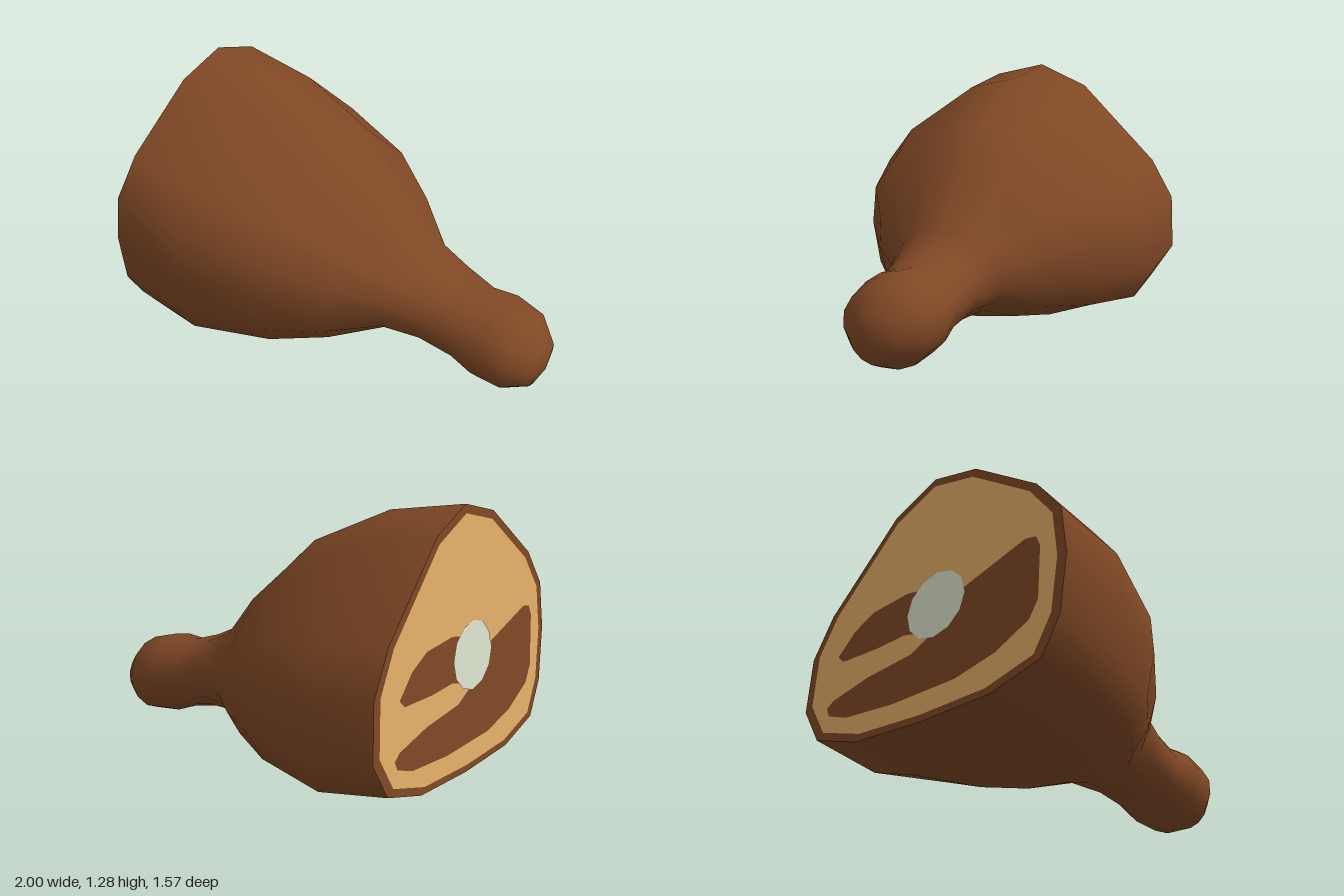
import * as THREE from 'three';

// Cross-section of the meaty end: [z, height fraction], from the top towards +z
const SECTION = [
  [-0.02, 1], [0.24, 0.953], [0.61, 0.755], [0.75, 0.615], [0.785, 0.428],
  [0.76, 0.21], [0.67, 0.074], [0.4, 0.012], [0, 0], [-0.4, 0.012],
  [-0.67, 0.074], [-0.78, 0.21], [-0.77, 0.428], [-0.66, 0.588], [-0.27, 0.91],
];
const N = SECTION.length;

// Tilted rings: [xTop, yTop, xBottom, yBottom, half width, roundness]
const RINGS = [
  [-0.96, 1.285, -0.995, 0.06, 0.78, 0],
  [-0.58, 1.228, -0.65, 0.005, 0.78, 0],
  [-0.16, 1.045, -0.27, 0.03, 0.65, 0.12],
  [0.1, 0.81, -0.03, 0.065, 0.48, 0.3],
  [0.3, 0.56, 0.19, 0.13, 0.285, 0.75],
  [0.45, 0.49, 0.39, 0.125, 0.235, 1],
  [0.61, 0.44, 0.57, 0.09, 0.214, 1],
  [0.74, 0.45, 0.69, 0.045, 0.235, 1],
  [0.89, 0.41, 0.84, 0.03, 0.218, 1],
  [0.985, 0.31, 0.955, 0.075, 0.125, 1],
];
const TIP = [1, 0.18, -0.01];

function ringPoint([xt, yt, xb, yb, half, round], i) {
  const a = (i / N) * Math.PI * 2;
  const [z, f] = SECTION[i];
  const v = THREE.MathUtils.lerp(f, 0.5 + 0.5 * Math.cos(a), round);
  const w = THREE.MathUtils.lerp(z / 0.78, Math.sin(a), round);
  return [xb + (xt - xb) * v, yb + (yt - yb) * v, w * half - 0.012 * round];
}

// Smooth skin lofted through the rings and closed at the knuckle
function skinGeometry() {
  const pos = [], index = [];
  for (const ring of RINGS) for (let i = 0; i < N; i++) pos.push(...ringPoint(ring, i));
  pos.push(...TIP);
  const last = RINGS.length - 1, tip = RINGS.length * N;
  for (let i = 0; i < N; i++) {
    const j = (i + 1) % N;
    for (let r = 0; r < last; r++) {
      const a = r * N + i, b = r * N + j;
      index.push(a, b, b + N, a, b + N, a + N);
    }
    index.push(last * N + i, last * N + j, tip);
  }
  const g = new THREE.BufferGeometry();
  g.setAttribute('position', new THREE.Float32BufferAttribute(pos, 3));
  g.setIndex(index);
  g.computeVertexNormals();
  return g;
}

// Flat plate of [z, y] points lying on the slanted cut, facing -x
function cutPlate(points, lift) {
  const shape = new THREE.Shape(points.map(([z, y]) => new THREE.Vector2(z, y)));
  const g = new THREE.ShapeGeometry(shape);
  g.rotateY(-Math.PI / 2);
  const p = g.attributes.position;
  for (let i = 0; i < p.count; i++) {
    p.setX(i, -0.995 + ((p.getY(i) - 0.06) * 0.035) / 1.225 - lift);
  }
  g.computeVertexNormals();
  return g;
}

export function createModel() {
  const skin = new THREE.MeshStandardMaterial({ name: 'brown skin', color: 0x804825 });
  const fat = new THREE.MeshStandardMaterial({ name: 'cream fat', color: 0xe7b16b });
  const bone = new THREE.MeshStandardMaterial({ name: 'pale bone', color: 0xe7f0da });

  const group = new THREE.Group();
  group.name = 'ham';
  const add = (name, geometry, material) => {
    const mesh = new THREE.Mesh(geometry, material);
    mesh.name = name;
    group.add(mesh);
  };

  add('skin', skinGeometry(), skin);

  // Cut end: skin rim, then the fat inside it
  const rim = SECTION.map((_, i) => ringPoint(RINGS[0], i)).map(([, y, z]) => [z, y]);
  add('cutRim', cutPlate(rim, 0), skin);
  add('cutFat', cutPlate(rim.map(([z, y]) => [z * 0.94, 0.6 + (y - 0.6) * 0.94]), 0.002), fat);

  // Lean meat around the bone
  add('smallMeat', cutPlate([
    [-0.08, 0.71], [-0.14, 0.72], [-0.36, 0.7], [-0.48, 0.64], [-0.58, 0.54],
    [-0.54, 0.505], [-0.31, 0.5], [-0.14, 0.51], [0, 0.48], [0.05, 0.6],
  ], 0.0035), skin);
  add('largeMeat', cutPlate([
    [0.2, 0.62], [0.56, 0.73], [0.62, 0.72], [0.645, 0.67], [0.645, 0.42], [0.6, 0.34],
    [0.42, 0.25], [0.2, 0.2], [-0.18, 0.19], [-0.48, 0.21], [-0.6, 0.25], [-0.62, 0.29],
    [-0.58, 0.32], [-0.36, 0.37], [-0.08, 0.4], [0.04, 0.46], [0.1, 0.55],
  ], 0.0035), skin);

  // Bone end
  const disc = [];
  for (let i = 0; i < 12; i++) {
    const a = (i / 12) * Math.PI * 2;
    disc.push([0.05 + 0.175 * Math.cos(a), 0.6 + 0.16 * Math.sin(a)]);
  }
  add('boneEnd', cutPlate(disc, 0.005), bone);

  return group;
}
